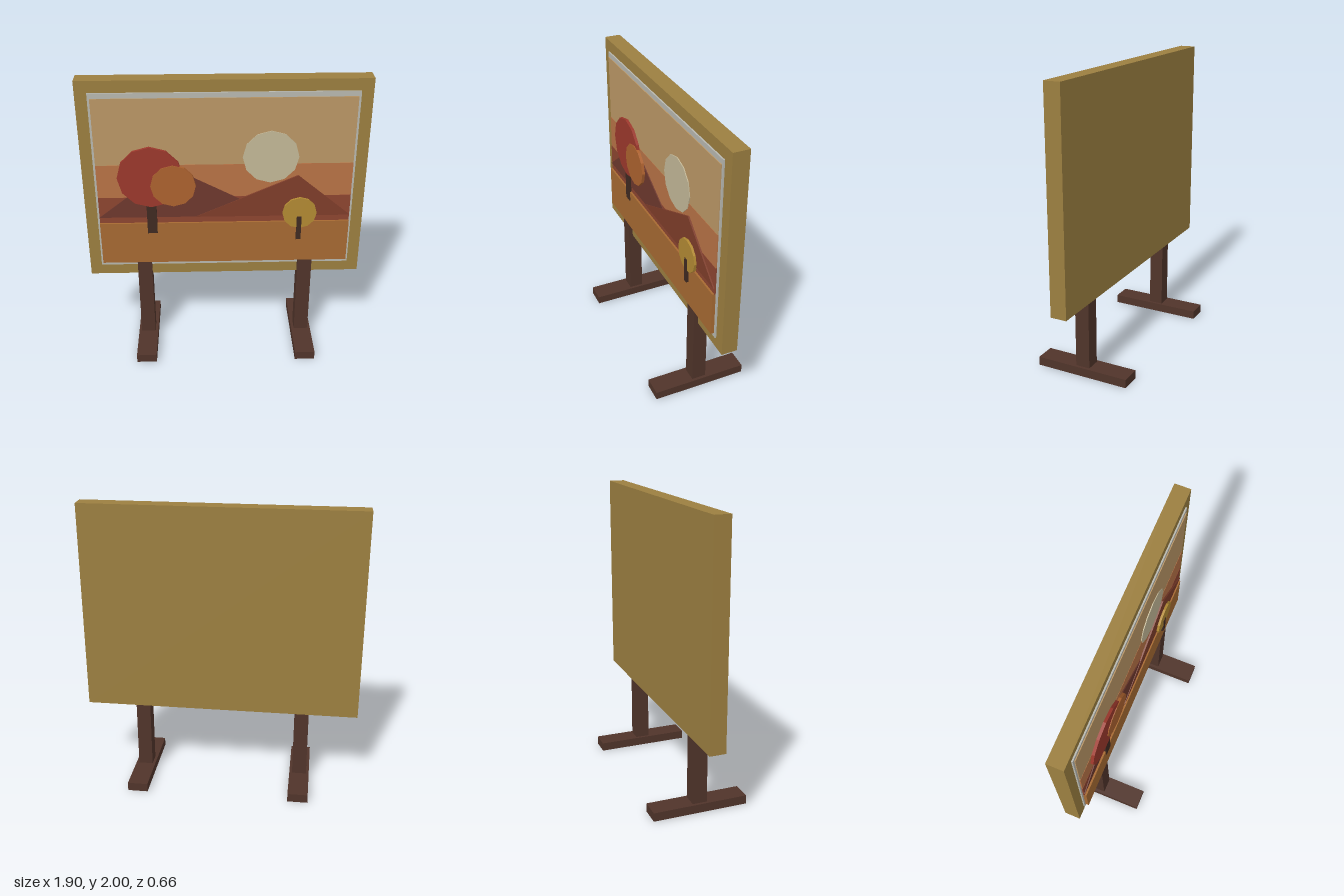
import * as THREE from 'three';

export function createModel() {
  const model = new THREE.Group();

  function add(name, geometry, color) {
    const material = new THREE.MeshStandardMaterial({ color, flatShading: true });
    const mesh = new THREE.Mesh(geometry, material);
    mesh.name = name;
    model.add(mesh);
    return mesh;
  }

  // Box given by its limits on each axis
  function box(name, [x0, x1], [y0, y1], [z0, z1], color) {
    const mesh = add(name, new THREE.BoxGeometry(x1 - x0, y1 - y0, z1 - z0), color);
    mesh.position.set((x0 + x1) / 2, (y0 + y1) / 2, (z0 + z1) / 2);
  }

  // Twelve-sided disc facing the front
  function disc(name, x, y, radius, z0, z1, color) {
    const geometry = new THREE.CylinderGeometry(radius, radius, z1 - z0, 12).rotateX(Math.PI / 2);
    add(name, geometry, color).position.set(x, y, (z0 + z1) / 2);
  }

  // Triangular slab
  function mountain(name, points, z0, z1, color) {
    const shape = new THREE.Shape(points.map(([x, y]) => new THREE.Vector2(x, y)));
    const geometry = new THREE.ExtrudeGeometry(shape, { depth: z1 - z0, bevelEnabled: false });
    add(name, geometry, color).position.z = z0;
  }

  const wood = 0x50342a;
  const trunk = 0x3f2a22;

  // Stand: a post and a long foot on each side
  for (const [side, x] of [['left', 0.565], ['right', -0.565]]) {
    box(side + 'Foot', [x - 0.07, x + 0.07], [0, 0.06], [-0.33, 0.33], wood);
    box(side + 'Post', [x - 0.05, x + 0.05], [0.06, 0.7], [-0.05, 0.05], wood);
  }

  // Board and pale mount
  box('board', [-0.95, 0.95], [0.56, 2], [-0.09, 0.02], 0x9c7f40);
  box('mount', [-0.87, 0.87], [0.64, 1.92], [0.01, 0.03], 0xb8b8b0);

  // Landscape bands
  const width = [-0.855, 0.855];
  box('upperSky', width, [1.42, 1.885], [0.02, 0.036], 0xbb9766);
  box('lowerSky', width, [1.18, 1.42], [0.02, 0.038], 0xb87346);
  box('horizon', width, [0.98, 1.18], [0.02, 0.04], 0x8d4530);
  box('ground', width, [0.67, 0.985], [0.02, 0.053], 0xa76a32);

  // Sun and mountains
  disc('sun', 0.305, 1.47, 0.187, 0.03, 0.042, 0xc3b897);
  mountain('farMountain', [[-0.855, 1.03], [0.35, 1.03], [-0.37, 1.41]], 0.035, 0.045, 0x6e382d);
  mountain('nearMountain', [[-0.2, 1.03], [0.855, 1.03], [0.49, 1.335]], 0.035, 0.049, 0x7f3d2a);

  // Large tree
  box('largeTrunk', [-0.53, -0.463], [0.91, 1.25], [0.035, 0.058], trunk);
  disc('redFoliage', -0.497, 1.336, 0.22, 0.04, 0.06, 0x9c382c);
  disc('orangeFoliage', -0.346, 1.275, 0.152, 0.045, 0.065, 0xad622f);

  // Small tree
  disc('yellowFoliage', 0.51, 1.056, 0.117, 0.045, 0.065, 0xb38a33);
  box('smallTrunk', [0.492, 0.525], [0.85, 1.03], [0.05, 0.069], trunk);

  return model;
}
